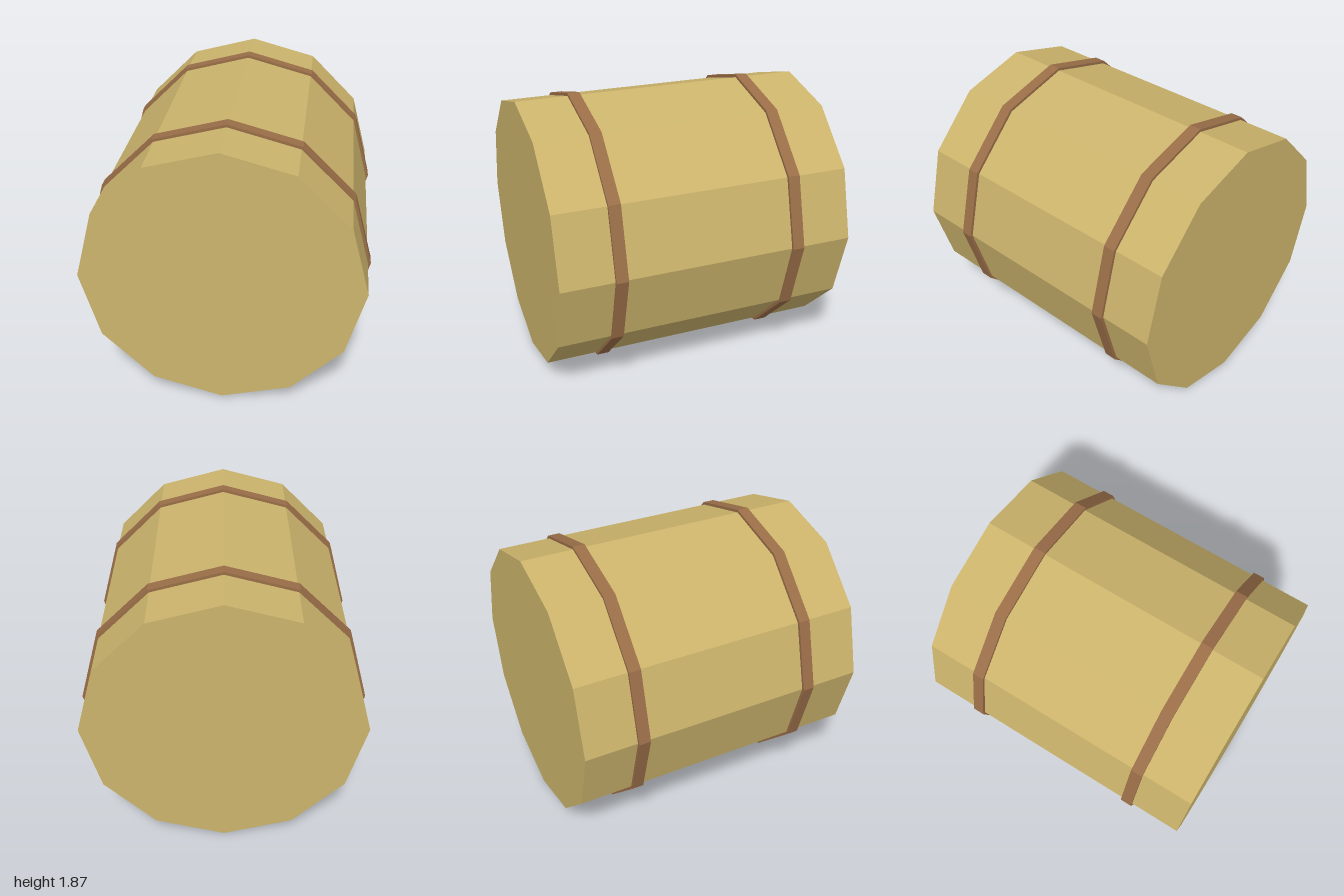
import * as THREE from 'three';

const SIDES = 12;
const BODY_R = 0.914, BAND_R = 0.933, BAND_W = 0.08;

export function createModel() {
  const model = new THREE.Group();
  model.name = 'barrel';

  const wood = new THREE.MeshStandardMaterial({ color: 0xccb46c, flatShading: true });
  wood.name = 'pale wood';
  const brown = new THREE.MeshStandardMaterial({ color: 0x9a6e48, flatShading: true });
  brown.name = 'brown band';

  const add = (name, geometry, material, z) => {
    geometry.rotateX(Math.PI / 2); // lay the axis along z
    const mesh = new THREE.Mesh(geometry, material);
    mesh.name = name;
    mesh.position.set(0, BAND_R, z);
    model.add(mesh);
  };

  // Twelve-sided drum lying on its side, closed at both ends
  add('body', new THREE.CylinderGeometry(BODY_R, BODY_R, 2, SIDES), wood, 0);

  // Two raised hoops around the drum
  const h = BAND_W / 2, inner = BODY_R - 0.01;
  const profile = [[inner, -h], [BAND_R, -h], [BAND_R, h], [inner, h]]
    .map(([r, y]) => new THREE.Vector2(r, y));
  for (const [name, z] of [['frontBand', 0.61], ['backBand', -0.61]]) {
    add(name, new THREE.LatheGeometry(profile, SIDES), brown, z);
  }

  return model;
}
